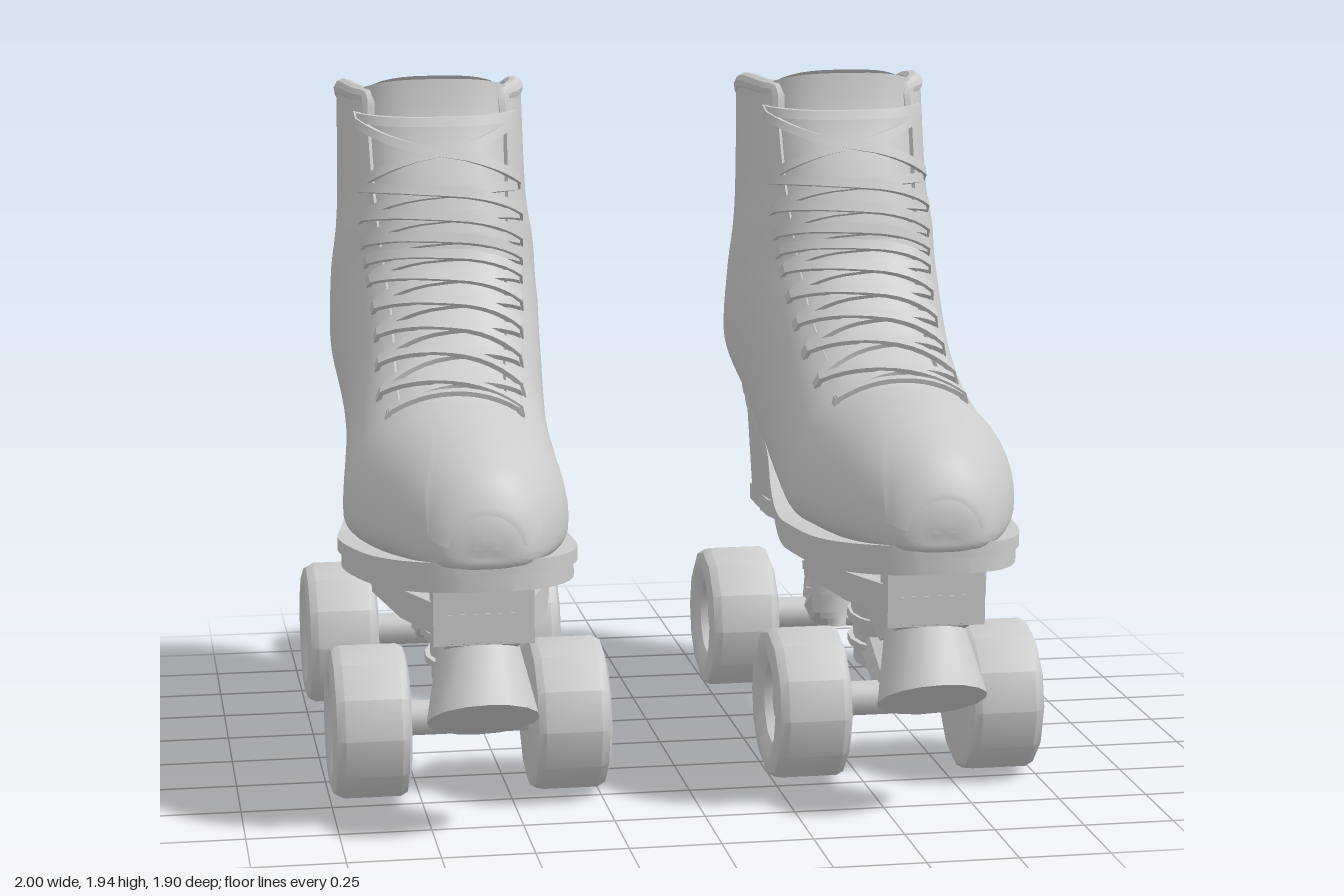
import * as THREE from 'three';
import { toCreasedNormals } from 'three/addons/utils/BufferGeometryUtils.js';

const V = (x, y, z) => new THREE.Vector3(x, y, z);
const ease = THREE.MathUtils.smoothstep;
const range = (n, f) => Array.from({ length: n + 1 }, (_, i) => f(i / n));
const mat = new THREE.MeshStandardMaterial({ color: 0xcccccc });
const add = (group, name, geo, crease = 0.6) => {
  const m = new THREE.Mesh(toCreasedNormals(geo, crease), mat);
  m.name = name;
  group.add(m);
  return m;
};

// Smoothly interpolated row of a table at fractional index v
function sample(rows, v) {
  const i = Math.min(Math.max(Math.floor(v), 0), rows.length - 2), t = v - i;
  const at = k => rows[Math.min(Math.max(k, 0), rows.length - 1)];
  return at(i).map((b, k) => {
    const a = at(i - 1)[k], c = at(i + 1)[k], d = at(i + 2)[k];
    const m = (c - a) / 2, n = (d - b) / 2;
    return b + m * t + (3 * (c - b) - 2 * m - n) * t * t + (2 * (b - c) + m + n) * t * t * t;
  });
}

// Skin over closed rings of equal length, turned to face outwards
function loft(rings, capEnd = true) {
  const n = rings[0].length, pts = rings.flat(), idx = [];
  const centre = r => r.reduce((s, p) => s.add(p), V(0, 0, 0)).divideScalar(n);
  for (let i = 0; i < rings.length - 1; i++) for (let j = 0; j < n; j++) {
    const a = i * n + j, b = i * n + (j + 1) % n;
    idx.push(a, b, b + n, a, b + n, a + n);
  }
  const cap = (ring, start, flip) => {
    const c = pts.push(centre(ring)) - 1;
    for (let j = 0; j < n; j++) {
      const a = start + j, b = start + (j + 1) % n;
      idx.push(c, flip ? b : a, flip ? a : b);
    }
  };
  cap(rings[0], 0, true);
  if (capEnd) cap(rings.at(-1), (rings.length - 1) * n, false);
  const o = centre(rings.at(-1));
  let vol = 0;
  for (let k = 0; k < idx.length; k += 3) {
    const [a, b, c] = [0, 1, 2].map(q => pts[idx[k + q]].clone().sub(o));
    vol += a.dot(b.cross(c));
  }
  if (vol < 0) idx.reverse();
  const g = new THREE.BufferGeometry().setFromPoints(pts);
  g.setIndex(idx);
  return g;
}

// Boot sections from toe to collar: lower z,y, upper z,y, half width
const BOOT = [
  [.935, .79, .94, .83, .03], [.93, .76, .925, .9, .1], [.88, .74, .87, .985, .16],
  [.76, .73, .76, 1.05, .225], [.58, .71, .6, 1.09, .275], [.36, .69, .42, 1.11, .305],
  [.2, .68, .31, 1.12, .305], [-.05, .72, .14, 1.19, .29], [-.25, .79, .04, 1.27, .285],
  [-.5, .87, -.03, 1.35, .29], [-.78, .94, -.09, 1.43, .3], [-.94, 1, -.11, 1.49, .3],
  [-.93, 1.17, -.14, 1.57, .295], [-.89, 1.4, -.18, 1.67, .275], [-.85, 1.77, -.27, 1.86, .27],
];
const TOP = BOOT.length - 1;
const topSquareness = v => 2 + .8 * ease(v, 5, 10);
const throatGap = v => .15 * ease(v, 5, 6) + .055 * Math.max(0, v - 6) / 8;

// Point on the boot at section v and angle a from the top centre line
function bootPoint(side, v, a, inset = 0) {
  const [lz, ly, uz, uy, w] = sample(BOOT, v);
  const ca = Math.cos(a), sa = Math.sin(a);
  const e = ca > 0 ? topSquareness(v) : 3 - .8 * ease(v, 10, 12);
  const widest = .28 + .22 * ease(v, 4, 12), bow = .07 * ease(v, 12.5, 14);
  const shift = .02 * ease(v, 3, 5) - .03 * ease(v, 5, 9);
  const x = Math.sign(sa) * Math.abs(sa) ** (2 / e) * Math.max(w - inset, 0);
  const h = Math.abs(ca) ** (2 / e);
  let s = ca > 0 ? widest + (1 - widest) * h : widest * (1 - h);
  s = .5 + (s - .5) * Math.max(1 - 2 * inset / Math.hypot(uz - lz, uy - ly), 0);
  return V(x + side * shift, ly + (uy - ly) * s + bow * Math.sin(Math.PI * s), lz + (uz - lz) * s);
}
// Angle at which the boot surface reaches half width x
const angleAt = (v, x) => Math.asin(Math.min(x / sample(BOOT, v)[4], .98) ** (topSquareness(v) / 2));
const gapAngle = v => angleAt(v, throatGap(v));

// Curved strip lying on the boot, between two depths
function strip(side, v0, v1, steps, halfWidth, outer, inner, lift = () => 0) {
  return loft(range(steps, t => {
    const v = v0 + (v1 - v0) * t, a = angleAt(v, halfWidth(v));
    const row = inset => range(12, u => {
      const p = bootPoint(side, v, a * (2 * u - 1), inset);
      p.y += lift(t, 2 * u - 1);
      return p;
    });
    return [...row(outer), ...row(inner).reverse()];
  }));
}

function buildBoot(g, side) {
  // Thick upper with open throat
  const wall = (v, a, inset, n) => range(n, u => bootPoint(side, v, a + 2 * (Math.PI - a) * u, inset));
  add(g, 'bootUpper', loft(range(TOP * 4, t => {
    const v = t * TOP, a = gapAngle(v);
    return [...wall(v, a, 0, 48), ...wall(v, a, .04, 48).reverse()];
  }), false), 0.8);
  // Padded collar
  const a = gapAngle(TOP) + .02;
  const collar = new THREE.CatmullRomCurve3([
    bootPoint(side, TOP - .3, a, .02), ...wall(TOP, a, .02, 24), bootPoint(side, TOP - .3, -a, .02)]);
  add(g, 'collar', new THREE.TubeGeometry(collar, 72, .028, 10));
  // Tongue and toe panel
  add(g, 'tongue', strip(side, 5, TOP, 40, v => throatGap(v) + .03, .012, .045,
    (t, u) => Math.max(0, t - .96) * 1.75 * (1 - .8 * u * u)));
  add(g, 'toePanel', strip(side, 1, 4.9, 20, v => Math.min(.145, .215 - .03 * v), -.007, .01));
  // Criss-cross laces
  const lace = (va, vb, lift) => add(g, 'lace', loft(range(14, t => {
    const v = va + (vb - va) * t;
    const a = (gapAngle(v) + .24) * (2 * t - 1), sink = t === 0 || t === 1 ? .02 : 0;
    const out = bootPoint(side, v, a, sink - lift - .008), inn = bootPoint(side, v, a, sink - lift + .006);
    const d = bootPoint(side, v + .05, a).sub(bootPoint(side, v - .05, a)).setLength(.014);
    return [out.clone().sub(d), out.clone().add(d), inn.clone().add(d), inn.clone().sub(d)];
  })), 0.5);
  const rows = range(10, t => 5.8 + 7.9 * t);
  rows.slice(1).forEach((v, i) => {
    lace(rows[i], v, .006);
    lace(v, rows[i], .016);
  });
  for (const v of [rows[0], rows[10]]) lace(v, v, .009);
}

function buildSole(g, side) {
  // z, top y, half width
  const rows = [[.925, .765, .07], [.88, .76, .165], [.76, .745, .24], [.58, .725, .29],
    [.3, .7, .315], [.14, .695, .305], [-.05, .73, .275], [-.25, .805, .245],
    [-.5, .885, .235], [-.75, .95, .225], [-.87, .98, .17], [-.925, .99, .07]];
  const layer = (name, top, bottom, grow) => add(g, name, loft(range(44, t => {
    const [z, y, w] = sample(rows, t * (rows.length - 1));
    const mid = side * .02 * Math.exp(-(((z - .3) / .25) ** 2)), l = mid - w - grow, r = mid + w + grow;
    return [V(l, y + top, z), V(r, y + top, z), V(r, y + bottom, z), V(l, y + bottom, z)];
  })), 0.7);
  layer('welt', .012, -.025, .005);
  layer('sole', -.025, -.07, -.005);
  // Stacked heel
  const half = [[-.45, .195], [-.6, .215], [-.74, .21], [-.84, .165], [-.9, .09]];
  const plan = [...half, [-.92, 0], ...half.map(([z, x]) => [z, -x]).reverse()];
  add(g, 'heel', loft([
    plan.map(([z, x]) => V(x * .95, .61, -.46 + (z + .45) * .94)),
    plan.map(([z, x]) => V(x * 1.04, .845 - (z + .45) * .27, z))]));
}

// Cylinder from a to b
function rod(g, name, a, b, ra, rb, sides = 12) {
  const d = b.clone().sub(a);
  const m = add(g, name, new THREE.CylinderGeometry(rb, ra, d.length(), sides));
  m.position.copy(a).lerp(b, .5);
  m.quaternion.setFromUnitVectors(V(0, 1, 0), d.normalize());
}

function buildChassis(g) {
  // Flange under the sole: z, top y, half width
  const flange = [[.82, .645, .13], [.62, .64, .2], [.3, .622, .25], [0, .615, .17],
    [-.3, .612, .15], [-.5, .61, .2], [-.76, .61, .2], [-.84, .605, .13]];
  add(g, 'plate', loft(flange.map(([z, y, w]) =>
    [V(-w, y, z), V(w, y, z), V(w, .56, z), V(-w, .56, z)])), 0.3);
  // Central beam
  const shape = new THREE.Shape([[.857, .62], [.857, .54], [.615, .44], [.48, .47], [.42, .54],
    [.13, .467], [.08, .467], [0, .53], [-.24, .515], [-.32, .467], [-.37, .467], [-.5, .53],
    [-.75, .45], [-.84, .555], [-.83, .6]].map(p => new THREE.Vector2(...p)));
  const beam = new THREE.ExtrudeGeometry(shape, { depth: .2, bevelEnabled: false });
  add(g, 'beam', beam.rotateY(-Math.PI / 2).translate(.1, 0, 0), 0.2);
  add(g, 'toeBlock', new THREE.BoxGeometry(.27, .15, .09).translate(0, .61, .81), 0.2);
  rod(g, 'toeStop', V(0, .5, .715), V(0, .32, .82), .11, .152, 16);
  for (const x of [-.17, .17]) for (const z of [.5, -.69]) {
    rod(g, 'bolt', V(x, .6, z), V(x, .535, z), .012, .012, 8);
    rod(g, 'nut', V(x, .57, z), V(x, .55, z), .024, .024, 6);
  }
}

function buildTruck(g, z, dir) {
  // dir points from the kingpin towards the axle
  const truck = new THREE.Group();
  truck.name = dir > 0 ? 'frontTruck' : 'rearTruck';
  truck.position.z = z;
  g.add(truck);
  rod(truck, 'axle', V(-.35, .22, 0), V(.35, .22, 0), .05, .05);
  // Cushion stack on the tilted kingpin: start, end, radius
  const king = t => V(0, .48 - .25 * t, dir * (-.185 - .05 * t));
  [[0, .2, .09], [.2, .3, .1], [.3, .52, .08], [.52, .6, .095], [.6, .82, .075], [.82, .9, .05], [.9, 1, .028]]
    .forEach(([a, b, r]) => rod(truck, 'cushion', king(a), king(b), r, r, 14));
  // Hanger and pivot arm
  rod(truck, 'hanger', V(0, .23, 0), king(.56), .06, .07, 8);
  rod(truck, 'pivotArm', V(0, .25, 0), V(0, .5, dir * .07), .06, .025, 8);
  // Wheels with a recessed hub on the outer face
  const tyre = [[0, -.108], [.185, -.108], [.207, -.1], [.218, -.08], [.218, .075], [.205, .098],
    [.175, .108], [.14, .103], [.115, .085], [.108, .05], [0, .05]].map(p => new THREE.Vector2(...p));
  for (const s of [-1, 1]) {
    const wheel = add(truck, 'wheel', new THREE.LatheGeometry(tyre, 12).rotateZ(-s * Math.PI / 2), 0.65);
    wheel.position.set(s * .277, .218, 0);
  }
}

export function createModel() {
  const model = new THREE.Group();
  for (const side of [-1, 1]) {
    const skate = new THREE.Group();
    skate.name = side > 0 ? 'leftSkate' : 'rightSkate';
    skate.position.x = side * .615;
    buildBoot(skate, side);
    buildSole(skate, side);
    buildChassis(skate);
    buildTruck(skate, .408, 1);
    buildTruck(skate, -.62, -1);
    model.add(skate);
  }
  return model;
}
